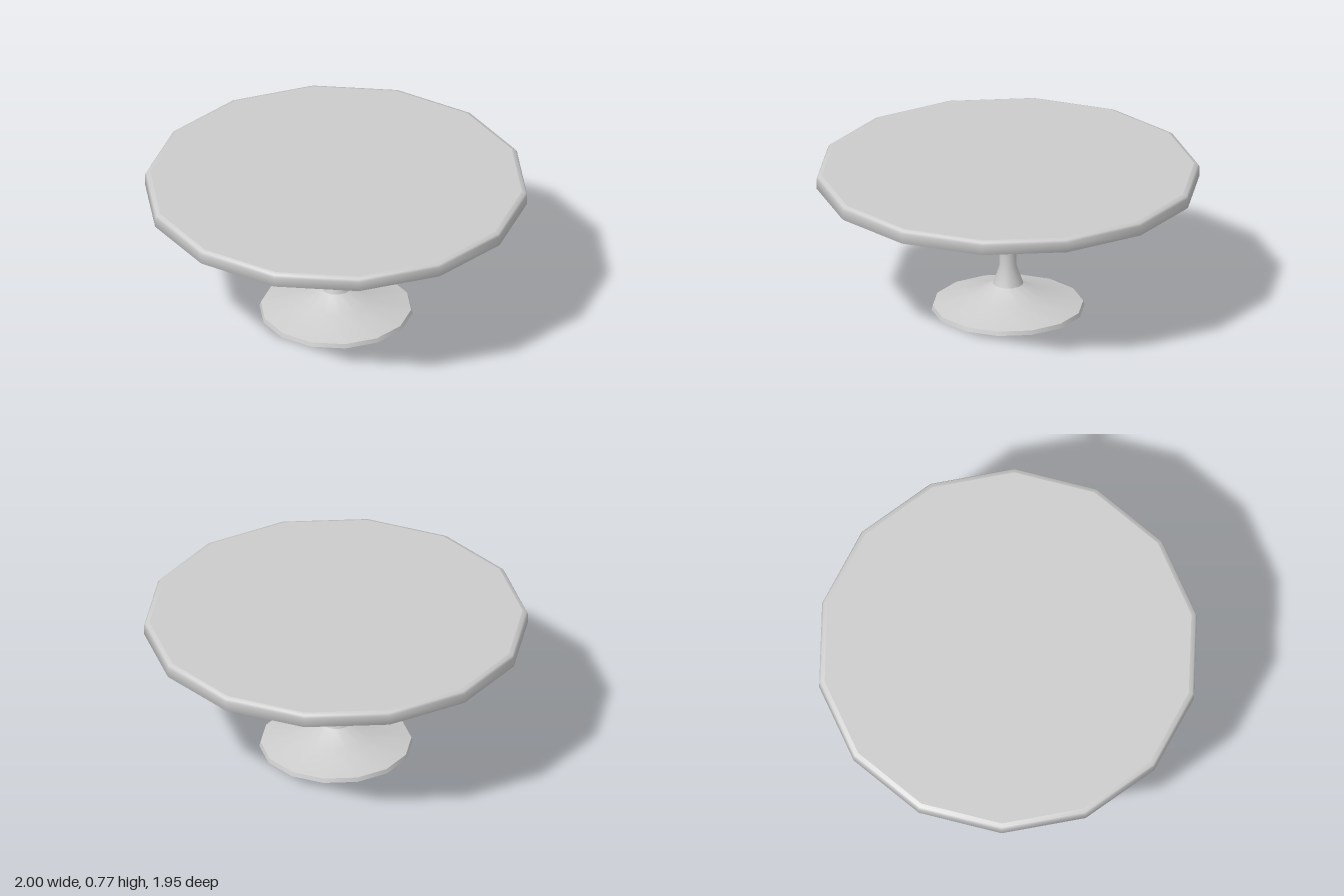
import * as THREE from 'three';

const SIDES = 14;

export function createModel() {
  const group = new THREE.Group();
  const material = new THREE.MeshStandardMaterial({ color: 0xcccccc });

  // Turned section: profile of [radius, height], smooth within, sharp at its ends
  const turn = (name, profile) => {
    const points = profile.map(([r, y]) => new THREE.Vector2(r, y));
    const geometry = new THREE.LatheGeometry(points, SIDES, Math.PI / 2);
    const mesh = new THREE.Mesh(geometry, material);
    mesh.name = name;
    group.add(mesh);
  };

  // Foot
  turn('footUnderside', [[0, 0], [0.4, 0]]);
  turn('footEdge', [[0.4, 0], [0.393, 0.022]]);
  turn('foot', [[0.393, 0.022], [0.19, 0.073], [0.08, 0.136]]);

  // Stem, flaring at both ends
  turn('stem', [[0.08, 0.136], [0.044, 0.238], [0.044, 0.378], [0.07, 0.46], [0.138, 0.536]]);

  // Table top: flared underside, rounded rim, flat surface
  turn('topUnderside', [[0.138, 0.536], [0.31, 0.62], [0.975, 0.693]]);
  turn('topRim', [[0.975, 0.693], [1, 0.703], [1, 0.755], [0.992, 0.768], [0.972, 0.775]]);
  turn('topSurface', [[0.972, 0.775], [0, 0.775]]);

  return group;
}
